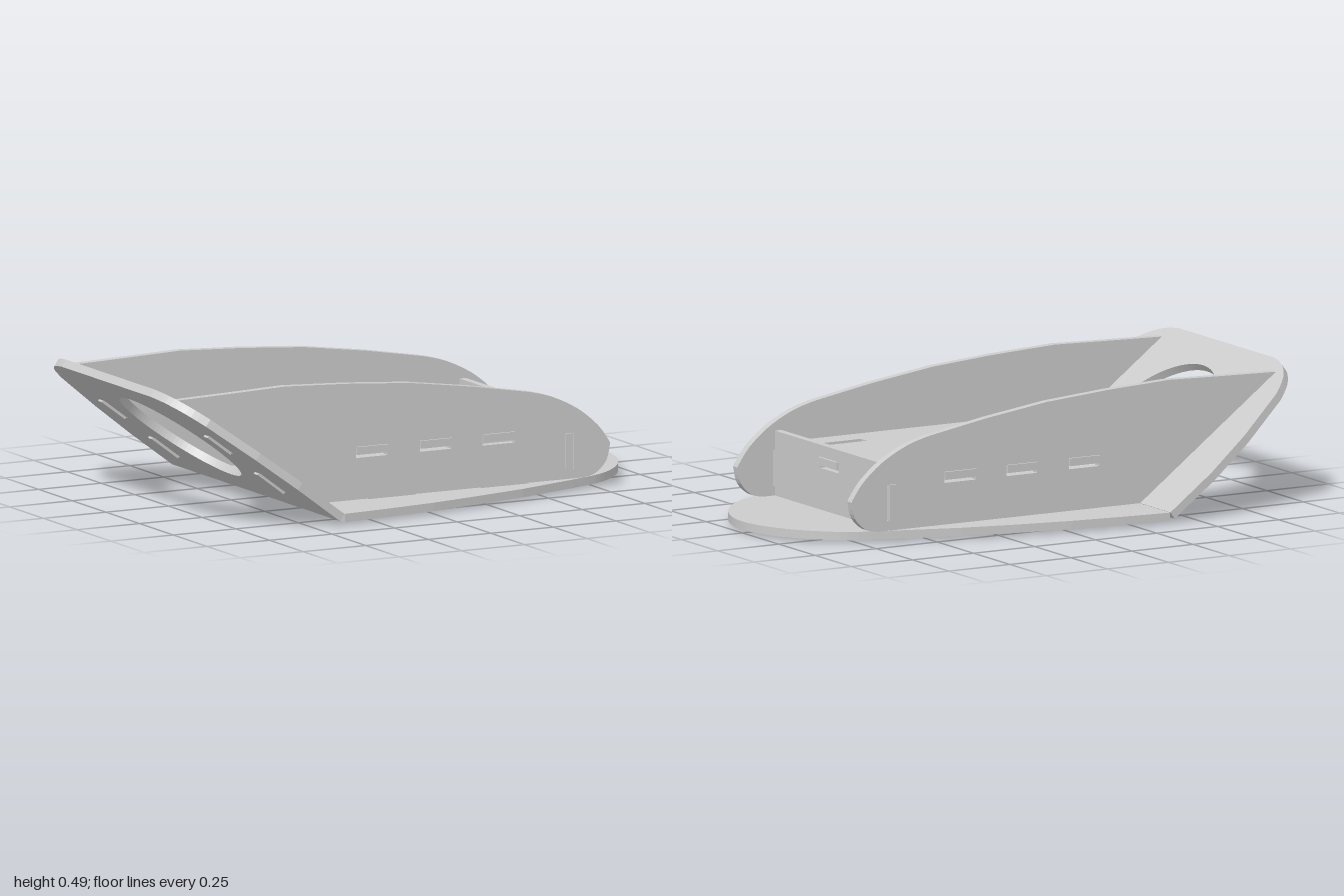
import * as THREE from 'three';

const T = 0.03; // sheet thickness
const material = new THREE.MeshStandardMaterial({ color: 0xcccccc });

// Rectangular cut-out
function slot(a0, a1, b0, b1) {
  return new THREE.Path([[a0, b0], [a1, b0], [a1, b1], [a0, b1]].map(p => new THREE.Vector2(...p)));
}

function shapeOf(points, holes = []) {
  const shape = new THREE.Shape(points.map(p => new THREE.Vector2(...p)));
  shape.holes.push(...holes);
  return shape;
}

// Smooth a few points into a rounded run of an outline
function smooth(points, n = 24) {
  return new THREE.SplineCurve(points.map(p => new THREE.Vector2(...p))).getPoints(n).map(p => [p.x, p.y]);
}

// Flat sheet cut from a shape, laid on the given axes and origin
function sheet(name, shape, u, v, n, origin, depth = T) {
  const geometry = new THREE.ExtrudeGeometry(shape, { depth, bevelEnabled: false, curveSegments: 48 });
  const m = new THREE.Matrix4().makeBasis(u, v, n).setPosition(...origin);
  geometry.applyMatrix4(m);
  const mesh = new THREE.Mesh(geometry, material);
  mesh.name = name;
  return mesh;
}

export function createModel() {
  const group = new THREE.Group();
  const X = new THREE.Vector3(1, 0, 0), Y = new THREE.Vector3(0, 1, 0), Z = new THREE.Vector3(0, 0, 1);
  const down = Y.clone().negate(), back = X.clone().negate();
  const slope = new THREE.Vector3(-0.8, 0.6, 0), slopeUp = new THREE.Vector3(0.6, 0.8, 0);

  // Shared tab positions
  const baseTabs = [[-0.17, 0.02], [0.28, 0.47]];
  const slopeTabs = [[0.125, 0.255], [0.39, 0.505]];
  const shelfTabs = [[-0.215, -0.09], [0.04, 0.165], [0.29, 0.42]];
  const slotRows = [[0.37, 0.411], [-0.415, -0.374]];
  const jointSlots = tabs => slotRows.flatMap(([z0, z1]) => tabs.map(([a, b]) => slot(a, b, z0, z1)));

  // Base plate with rounded nose
  const nose = smooth([[0.64, 0.42], [0.78, 0.365], [0.89, 0.27], [0.97, 0.14], [1, 0],
    [0.97, -0.14], [0.89, -0.27], [0.78, -0.365], [0.64, -0.42]], 40);
  const base = [[-0.38, 0.622], [-0.2, 0.605], [0, 0.58], [0.2, 0.54], [0.4, 0.495], ...nose,
    [0.4, -0.498], [0.2, -0.545], [0, -0.583], [-0.2, -0.608], [-0.38, -0.625]];
  group.add(sheet('basePlate', shapeOf(base, jointSlots(baseTabs)), X, Z, down, [0, 0.041, 0]));

  // Sloped rear plate with round opening
  const half = [[0, 0.623], [0.21, 0.623], [0.4, 0.595],
    ...smooth([[0.61, 0.535], [0.68, 0.485], [0.73, 0.41], [0.75, 0.33]], 12)];
  const tail = [...half, ...half.map(([s, z]) => [s, -z]).reverse()];
  const opening = new THREE.Path().absarc(0.378, 0, 0.253, 0, Math.PI * 2);
  group.add(sheet('slopedPlate', shapeOf(tail, [opening, ...jointSlots(slopeTabs)]),
    slope, Z, slopeUp, [-0.4, 0.017, 0]));

  // Side panels with tabs into the base and the sloped plate
  const onSlope = (s, d) => [-0.382 - 0.8 * s - 0.6 * d, 0.041 + 0.6 * s - 0.8 * d];
  const side = [onSlope(0, 0)];
  for (const [a, b] of baseTabs) side.push([a, 0.041], [a, 0], [b, 0], [b, 0.041]);
  side.push(...smooth([[0.69, 0.041], [0.74, 0.052], [0.785, 0.095], [0.8, 0.155]], 12));
  side.push(...smooth([[0.795, 0.165], [0.75, 0.225], [0.67, 0.29], [0.57, 0.34], [0.48, 0.365]], 12));
  side.push([0.25, 0.405], [0, 0.44], [-0.25, 0.459], [-0.5, 0.471], [-0.72, 0.464], onSlope(0.695, 0));
  for (const [a, b] of [...slopeTabs].reverse()) {
    side.push(onSlope(b, 0), onSlope(b, 0.038), onSlope(a, 0.038), onSlope(a, 0));
  }
  const sideSlots = [...shelfTabs.map(([a, b]) => slot(a, b, 0.19, 0.23)), slot(0.62, 0.655, 0.077, 0.205)];
  for (const [name, z] of [['leftSidePanel', 0.37], ['rightSidePanel', -0.415]].map(([n, z]) => [n, z])) {
    group.add(sheet(name, shapeOf(side, sideSlots), X, Y, Z, [0, 0, z]));
  }

  // Shelf with side tabs, front tab and four strap slots
  const zL = 0.37, zR = -0.385, tabL = 0.408, tabR = -0.423;
  const shelf = [[-0.41, zR]];
  for (const [a, b] of shelfTabs) shelf.push([a, zR], [a, tabR], [b, tabR], [b, zR]);
  shelf.push([0.62, zR], [0.62, -0.068], [0.656, -0.068], [0.656, 0.058], [0.62, 0.058], [0.62, zL]);
  for (const [a, b] of [...shelfTabs].reverse()) shelf.push([b, zL], [b, tabL], [a, tabL], [a, zL]);
  shelf.push([-0.41, zL]);
  const straps = [[-0.35, -0.16], [0.35, 0.54]].flatMap(([a, b]) =>
    [[-0.3, -0.258], [0.235, 0.277]].map(([c, d]) => slot(a, b, c, d)));
  group.add(sheet('shelf', shapeOf(shelf, straps), X, Z, down, [0, 0.23, 0], 0.028));

  // Upright front wall with side tabs
  const wall = [[zR, 0.041], [zL, 0.041], [zL, 0.077], [tabL, 0.077], [tabL, 0.205], [zL, 0.205],
    [zL, 0.273], [zR, 0.273], [zR, 0.205], [tabR, 0.205], [tabR, 0.077], [zR, 0.077]];
  group.add(sheet('frontWall', shapeOf(wall, [slot(-0.068, 0.058, 0.19, 0.23)]),
    Z, Y, back, [0.647, 0, 0], 0.027));

  return group;
}
